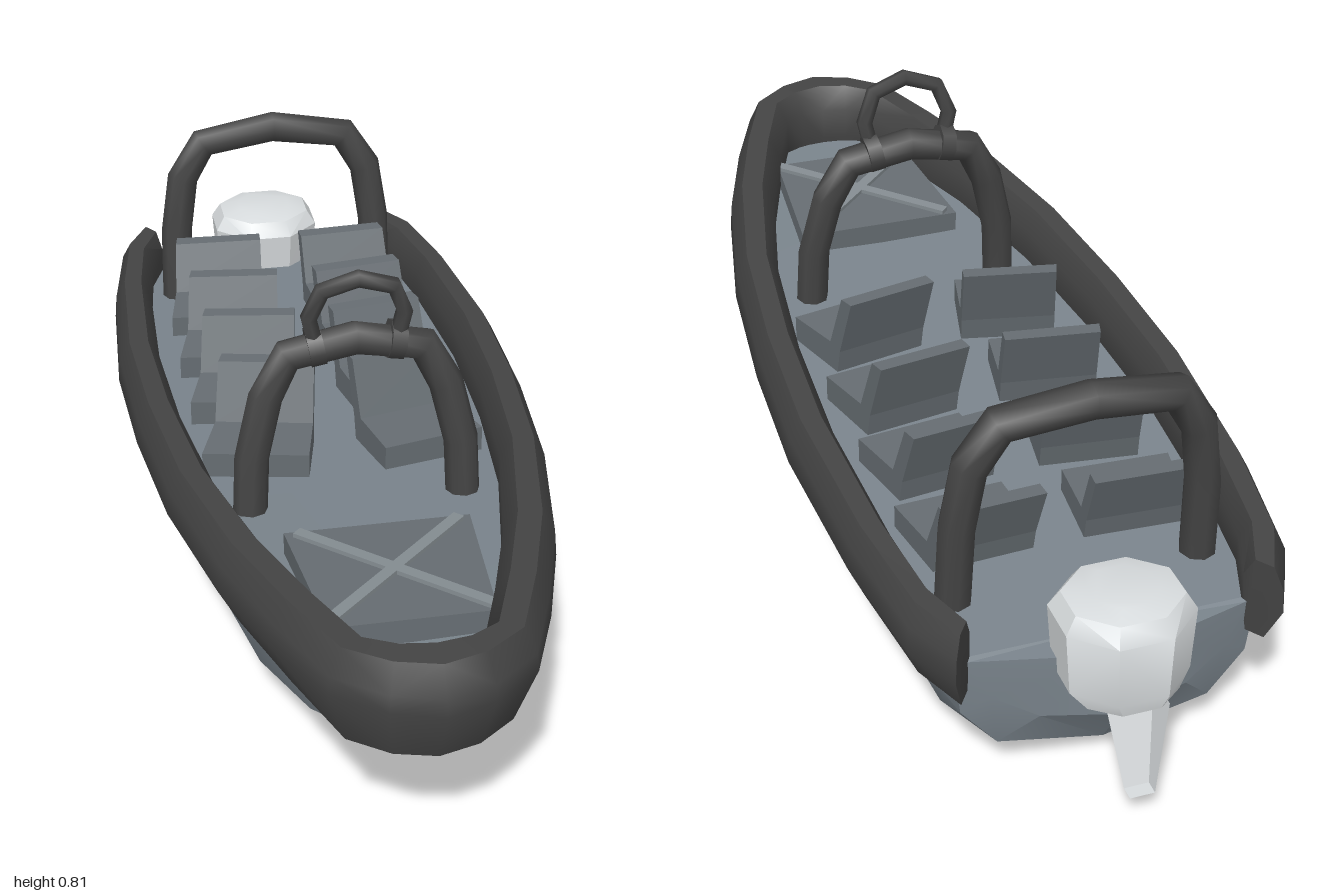
import * as THREE from 'three';
import { toCreasedNormals } from 'three/addons/utils/BufferGeometryUtils.js';

const V = (x, y, z) => new THREE.Vector3(x, y, z);
const paint = (color) => new THREE.MeshStandardMaterial({ color });
const dark = paint(0x444444), steel = paint(0x7a848c), seatGrey = paint(0x666d72);
const trim = paint(0x858d92), pale = paint(0xd8dcde);

const deckY = (z) => 0.325 + 0.055 * z;

// Skin over a list of closed cross-sections, split along the shorter diagonals, both ends capped
function loft(rings, crease) {
  const n = rings[0].length, last = (rings.length - 1) * n, index = [], pts = rings.flat();
  for (let i = 0; i < rings.length - 1; i++) {
    for (let j = 0; j < n; j++) {
      const a = i * n + j, b = i * n + (j + 1) % n, c = b + n, d = a + n;
      if (pts[a].distanceTo(pts[c]) < pts[b].distanceTo(pts[d])) index.push(a, b, c, a, c, d);
      else index.push(a, b, d, b, c, d);
    }
  }
  for (let j = 1; j < n - 1; j++) {
    index.push(0, j + 1, j, last, last + j, last + j + 1);
  }
  const geometry = new THREE.BufferGeometry().setFromPoints(pts);
  geometry.setIndex(index);
  return toCreasedNormals(geometry, crease);
}

// Faceted pipe through the mirrored half path (foot first, middle last)
function hoop(half, radius, sides) {
  const pts = [...half, ...half.slice(0, -1).reverse().map(([x, y, z]) => [-x, y, z])];
  const curve = new THREE.CatmullRomCurve3(pts.map((p) => V(...p)));
  curve.getUtoTmapping = (u) => u; // segments land on the path points
  return new THREE.TubeGeometry(curve, pts.length - 1, radius, sides);
}

function hullGeometry() {
  // z, keel y, chine x/y, knuckle x/y, deck edge x, sweep of the sides along z
  const stations = [
    [0.89, 0.305, 0.05, 0.305, 0.10, 0.31, 0.10, -0.3],
    [0.81, 0.215, 0.06, 0.217, 0.115, 0.222, 0.15, -0.55],
    [0.65, 0.105, 0.14, 0.107, 0.20, 0.22, 0.215, -0.65],
    [0.47, 0.073, 0.205, 0.097, 0.26, 0.22, 0.268, -0.35],
    [0.10, 0.045, 0.235, 0.085, 0.29, 0.21, 0.305, 0],
    [-0.30, 0.01, 0.25, 0.07, 0.305, 0.195, 0.318, 0],
    [-0.68, 0.0, 0.24, 0.065, 0.29, 0.18, 0.305, 0],
    [-0.83, 0.045, 0.19, 0.085, 0.255, 0.165, 0.27, 0],
    [-0.90, 0.15, 0.13, 0.155, 0.21, 0.2, 0.245, 0.25],
  ];
  return loft(stations.map(([z, ky, cx, cy, nx, ny, tx, sweep]) => {
    const side = [[tx, deckY(z)], [nx, ny], [cx, cy]];
    const p = (x, y) => V(x, y, z + Math.abs(x) * sweep);
    return [p(0, deckY(z)), ...side.map(([x, y]) => p(x, y)), p(0, ky),
      ...side.reverse().map(([x, y]) => p(-x, y))];
  }), 0.35);
}

function collarGeometry() {
  // outer x/z, inner x/z from bow to stern
  const half = [
    [0, 1.0, 0, 0.88], [0.085, 0.97, 0.05, 0.875], [0.17, 0.9, 0.09, 0.855],
    [0.235, 0.74, 0.145, 0.71], [0.297, 0.55, 0.205, 0.53], [0.352, 0.28, 0.265, 0.27],
    [0.38, 0, 0.295, 0], [0.39, -0.27, 0.306, -0.27], [0.37, -0.58, 0.292, -0.57],
    [0.335, -0.8, 0.272, -0.74], [0.285, -0.895, 0.24, -0.83],
  ];
  const section = [[0.15, 0], [0.6, 0], [1, 0.45], [0.95, 0.75], [0.7, 1], [0.25, 1], [0, 0.75], [0, 0.4]];
  const all = [...half.slice(1).reverse(), ...half.map(([ox, oz, ix, iz]) => [-ox, oz, -ix, iz])];
  return loft(all.map(([ox, oz, ix, iz]) => {
    const bow = THREE.MathUtils.smoothstep(oz, 0.6, 1); // bow is deeper and raked
    const bottom = 0.271 + 0.06 * oz - 0.022 * bow, top = 0.43 + 0.071 * oz;
    return section.map(([u, v], k) => V(THREE.MathUtils.lerp(ix, ox, u),
      THREE.MathUtils.lerp(bottom, top, k === 2 ? v + 0.15 * bow : v),
      THREE.MathUtils.lerp(iz, oz, u)));
  }), 1);
}

// Seat: one side profile for pad and thin leaning backrest, widening to the front and outer side
function seatGeometry(side) {
  const profile = [[-0.045, -0.01], [0.09, -0.01], [0.09, 0.055], [-0.025, 0.055],
    [-0.065, 0.165], [-0.095, 0.165], [-0.055, 0.045]];
  const shape = new THREE.Shape(profile.map(([x, y]) => new THREE.Vector2(x, y)));
  const geometry = new THREE.ExtrudeGeometry(shape, { depth: 0.19, bevelEnabled: false })
    .translate(0, 0, -0.095).rotateY(-Math.PI / 2);
  const p = geometry.attributes.position;
  for (let i = 0; i < p.count; i++) {
    p.setX(i, p.getX(i) * (1 + 0.6 * p.getZ(i)) + side * 0.08 * p.getZ(i));
  }
  return geometry;
}

// Horizontal rings for the engine: y, half width, front z, back z
function stack(rows, sides) {
  const grow = 1 / Math.cos(Math.PI / sides);
  return loft(rows.map(([y, hx, zf, zb]) => Array.from({ length: sides }, (_, j) => {
    const a = ((j + 0.5) / sides) * Math.PI * 2;
    return V(Math.cos(a) * hx * grow, y, (zf + zb) / 2 - Math.sin(a) * grow * (zf - zb) / 2);
  })), 0.6);
}

export function createModel() {
  const boat = new THREE.Group();
  boat.name = 'inflatableBoat';
  const add = (name, geometry, material, parent = boat) => {
    const mesh = new THREE.Mesh(geometry, material);
    mesh.name = name;
    parent.add(mesh);
    return mesh;
  };

  add('hull', hullGeometry(), steel);
  add('collar', collarGeometry(), dark);

  // Four rows of paired seats, turned slightly outward
  for (const s of [1, -1]) {
    const seat = seatGeometry(s);
    [[0.06, 12, 1], [-0.155, 9, 0.98], [-0.36, 7, 0.94], [-0.565, 3, 0.87]].forEach(([z, turn, tall]) => {
      const mesh = add('seat', seat, seatGrey);
      mesh.position.set(s * 0.145, deckY(z), z);
      mesh.rotation.y = s * THREE.MathUtils.degToRad(turn);
      mesh.scale.y = tall;
    });
  }

  // Bow locker with crossed straps
  const locker = new THREE.Group();
  locker.name = 'bowLocker';
  locker.position.set(0.005, deckY(0.578) + 0.005, 0.578);
  locker.rotation.x = -0.055;
  const lid = new THREE.BoxGeometry(0.335, 0.08, 0.305);
  const lp = lid.attributes.position;
  for (let i = 0; i < lp.count; i++) if (lp.getZ(i) > 0) lp.setX(i, lp.getX(i) * 0.85);
  add('lockerLid', lid, seatGrey, locker);
  for (const s of [1, -1]) {
    const strap = add('lockerStrap', new THREE.BoxGeometry(0.022, 0.012, 0.41), trim, locker);
    strap.position.y = 0.042;
    strap.rotation.y = s * 0.79;
  }
  boat.add(locker);

  // Arches and the small hoop on the front one
  add('frontArch', hoop([[0.2, 0.31, 0.265], [0.193, 0.45, 0.257], [0.165, 0.565, 0.245],
    [0.123, 0.643, 0.237], [0, 0.666, 0.235]], 0.032, 8), dark);
  add('rearArch', hoop([[0.222, 0.27, -0.69], [0.218, 0.44, -0.7], [0.2, 0.56, -0.708],
    [0.153, 0.635, -0.715], [0, 0.657, -0.725]], 0.033, 8), dark);
  add('topHoop', hoop([[0.07, 0.65, 0.245], [0.086, 0.72, 0.246], [0.064, 0.775, 0.255],
    [0, 0.797, 0.26]], 0.016, 6), dark);
  for (const s of [1, -1]) {
    const clamp = add('hoopClamp', new THREE.CylinderGeometry(0.037, 0.037, 0.028, 8), dark);
    clamp.rotation.z = Math.PI / 2 - s * 0.17;
    clamp.position.set(s * 0.073, 0.657, 0.236);
  }

  // Outboard engine
  add('engineCowl', stack([[0.22, 0.08, -0.86, -0.98], [0.245, 0.105, -0.79, -0.985],
    [0.36, 0.113, -0.78, -0.985], [0.39, 0.095, -0.8, -0.965], [0.4, 0.055, -0.83, -0.935]], 8), pale);
  add('engineLeg', stack([[0.23, 0.045, -0.92, -0.985], [0.06, 0.022, -0.975, -1.0]], 4), pale);
  return boat;
}
